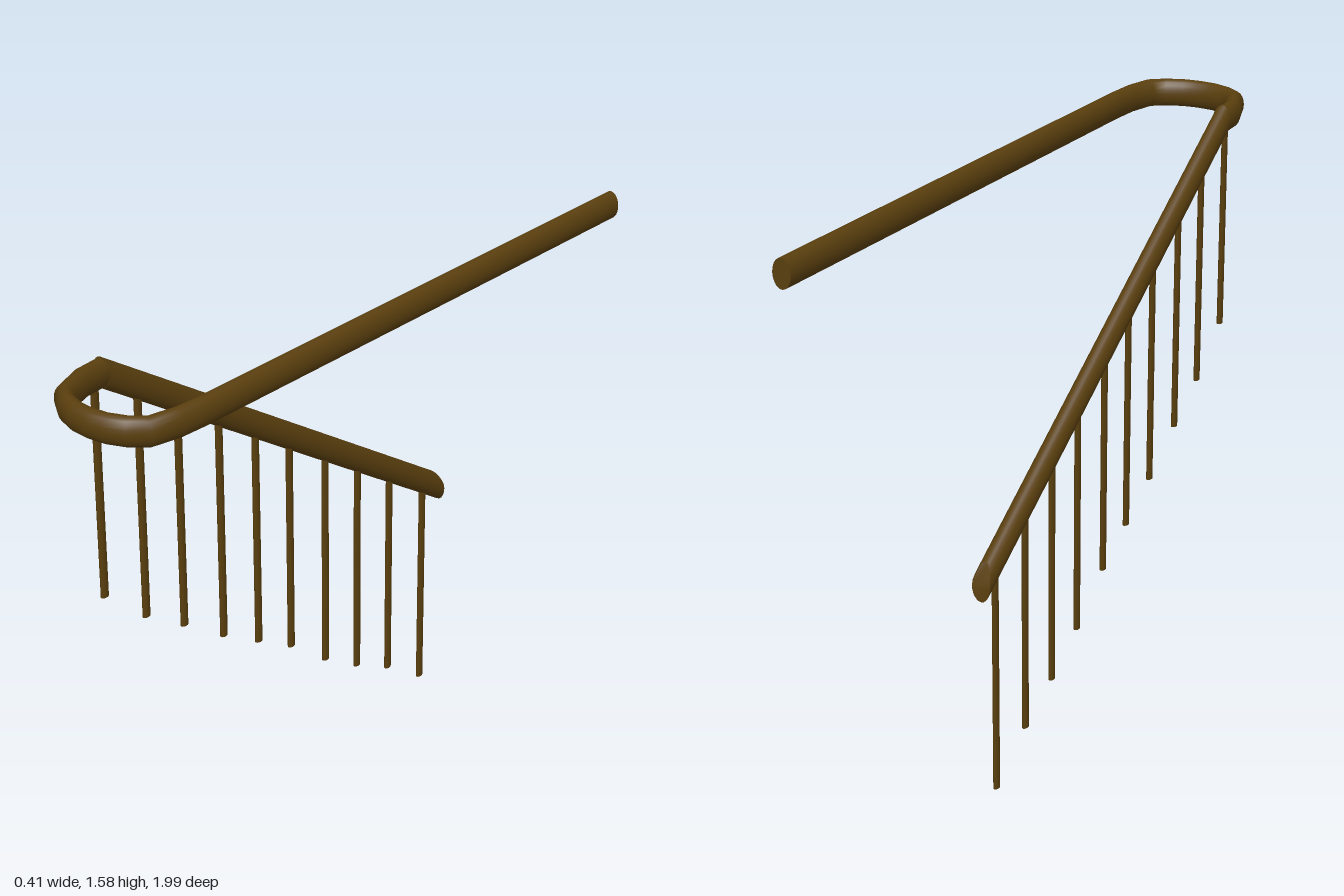
import * as THREE from 'three';

const SIDES = 20;

// Sweeps an upright oval along a path; each ring stays vertical and is mitred in plan.
function sweepRail(points, halfWidth, halfHeight, slantStart = 0) {
  const pos = [], index = [], last = points.length - 1;
  const ring = [];
  points.forEach((p, i) => {
    const before = points[Math.max(i - 1, 0)], after = points[Math.min(i + 1, last)];
    const dir = after.clone().sub(before).normalize();
    const side = new THREE.Vector3(dir.z, 0, -dir.x).normalize();
    ring[i] = [];
    for (let s = 0; s < SIDES; s++) {
      const a = (s / SIDES) * Math.PI * 2;
      const v = p.clone().addScaledVector(side, Math.cos(a) * halfWidth);
      v.y += Math.sin(a) * halfHeight;
      // The first end leans back towards its top
      if (i === 0 && Math.sin(a) > 0) v.addScaledVector(dir, slantStart * Math.sin(a) ** 2);
      ring[i].push(v);
      pos.push(v.x, v.y, v.z);
    }
  });
  for (let i = 0; i < last; i++) {
    for (let s = 0; s < SIDES; s++) {
      const a = i * SIDES + s, b = i * SIDES + (s + 1) % SIDES;
      index.push(a, a + SIDES, b, b, a + SIDES, b + SIDES);
    }
  }
  // Flat end caps with their own vertices
  for (const [i, flip] of [[0, false], [last, true]]) {
    const c = pos.length / 3;
    ring[i].forEach((v) => pos.push(v.x, v.y, v.z));
    for (let s = 1; s < SIDES - 1; s++) {
      if (flip) index.push(c, c + s + 1, c + s);
      else index.push(c, c + s, c + s + 1);
    }
  }
  const g = new THREE.BufferGeometry();
  g.setAttribute('position', new THREE.Float32BufferAttribute(pos, 3));
  g.setIndex(index);
  g.computeVertexNormals();
  return g;
}

export function createModel() {
  const group = new THREE.Group();
  const wood = new THREE.MeshStandardMaterial({ color: 0x5a3f0e, side: THREE.DoubleSide });
  wood.name = 'darkWood';

  const add = (name, geometry, parent = group) => {
    const mesh = new THREE.Mesh(geometry, wood);
    mesh.name = name;
    parent.add(mesh);
    return mesh;
  };

  // Level rail: U-shaped bend, then a long straight run to the back
  const railY = 1.535;
  const plan = [
    [-0.179, 0.74], [-0.174, 0.82], [-0.142, 0.912], [-0.1, 0.943], [-0.05, 0.962], [0, 0.967],
    [0.05, 0.962], [0.1, 0.943], [0.14, 0.912], [0.16, 0.83], [0.165, 0.74], [0.176, -1],
  ];
  add('levelHandrail', sweepRail(plan.map(([x, z]) => new THREE.Vector3(x, railY, z)), 0.027, 0.041));

  // Sloping rail that follows the stairs
  const foot = new THREE.Vector3(-0.179, 0.637, -0.668);
  const head = new THREE.Vector3(-0.179, railY, 0.745);
  add('slopingHandrail', sweepRail([foot, head], 0.027, 0.044, 0.032));

  // Balusters: [z, bottom y], tops buried in the rail
  const balusters = new THREE.Group();
  balusters.name = 'balusters';
  group.add(balusters);
  const posts = [
    [0.775, 0.9], [0.622, 0.77], [0.475, 0.675], [0.316, 0.567], [0.169, 0.48],
    [0.027, 0.397], [-0.129, 0.278], [-0.276, 0.187], [-0.426, 0.108], [-0.587, 0],
  ];
  const slope = (head.y - foot.y) / (head.z - foot.z);
  for (const [z, bottom] of posts) {
    const top = Math.min(foot.y + slope * (z - foot.z), railY - 0.01);
    const post = add('baluster', new THREE.CylinderGeometry(1, 1, 1, 12), balusters);
    post.scale.set(0.008, top - bottom, 0.013);
    post.position.set(-0.175, (top + bottom) / 2, z);
  }

  return group;
}
